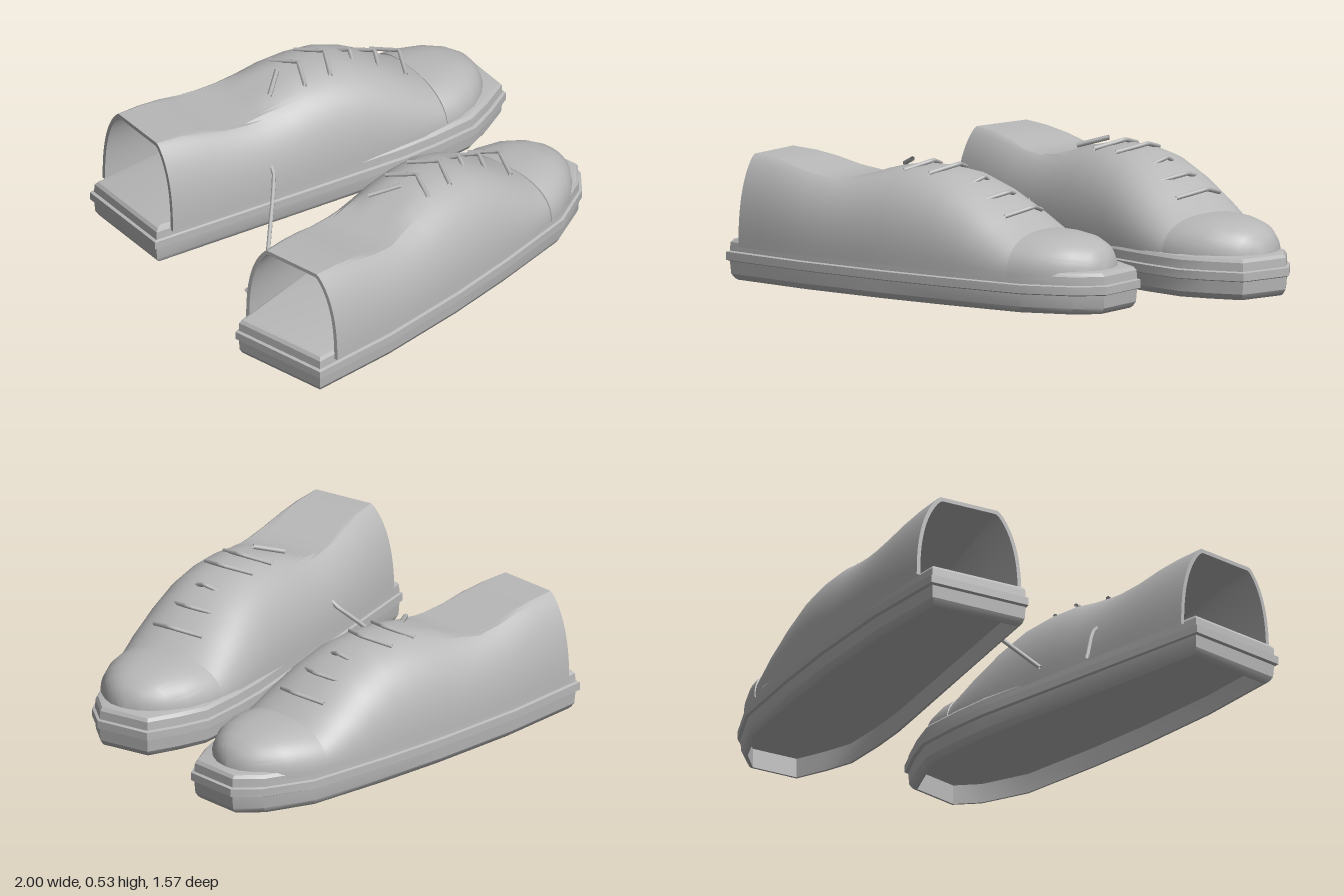
import * as THREE from 'three';
import { toCreasedNormals } from 'three/addons/utils/BufferGeometryUtils.js';

const grey = new THREE.MeshStandardMaterial({ color: 0xb8b8b8, side: THREE.DoubleSide });
grey.name = 'grey';

// Skin a list of rings, each an array of [x, y, z] with equal length
function loft(rings, crease, closed = false) {
  const n = rings[0].length, index = [];
  for (let i = 0; i < rings.length - 1; i++) {
    for (let j = 0; j < (closed ? n : n - 1); j++) {
      const k = (j + 1) % n;
      const a = i * n + j, b = i * n + k, c = a + n, d = b + n;
      index.push(a, b, c, b, d, c);
    }
  }
  const g = new THREE.BufferGeometry();
  g.setAttribute('position', new THREE.Float32BufferAttribute(rings.flat(2), 3));
  g.setIndex(index);
  return toCreasedNormals(g, crease);
}

// Arched cross-section from the inner side over the top to the outer side,
// cut flat at the cap height and slightly skewed along the shoe
function arch([x, zIn, zOut, top, power, cap = top], base, inset = 0, steps = 44) {
  const mid = (zIn + zOut) / 2, half = (zOut - zIn) / 2 - inset, h = top - base - inset;
  const ring = [];
  for (let j = 0; j <= steps; j++) {
    const t = Math.PI * (1 - j / steps);
    const c = Math.cos(t), s = Math.max(0, Math.sin(t));
    const side = half * Math.sign(c) * Math.pow(Math.abs(c), 2 / power);
    const y = Math.min(base + h * Math.pow(s, 2 / power), cap - inset);
    ring.push([x + 0.045 * side, y, mid + side]);
  }
  return ring;
}

// Sole plan: outer side, toe, inner side, heel
const SOLE = [
  [-0.98, 0.748], [-0.6, 0.772], [-0.2, 0.764], [0.1, 0.742], [0.46, 0.7], [0.66, 0.61],
  [0.748, 0.52], [0.735, 0.29], [0.61, 0.22], [0.49, 0.168], [0.3, 0.162], [0.14, 0.168],
  [0, 0.185], [-0.4, 0.235], [-0.8, 0.285], [-1, 0.31],
];
const soleRing = (y, inset) => SOLE.map(([x, z]) => [
  -0.13 + (x + 0.13) * (1 - inset / 0.87), y, 0.47 + (z - 0.47) * (1 - inset / 0.3),
]);
const soleCentre = (y) => SOLE.map(() => [-0.13, y, 0.47]);

// Stations: x, inner z, outer z, top height, roundness power, flat cap height
const UPPER = [
  [-0.912, 0.295, 0.767, 0.542, 2.4, 0.497], [-0.8, 0.28, 0.774, 0.535, 2.4, 0.49],
  [-0.7, 0.268, 0.778, 0.52, 2.4, 0.475], [-0.6, 0.258, 0.78, 0.498, 2.4, 0.448],
  [-0.5, 0.248, 0.778, 0.485, 2.4, 0.436], [-0.42, 0.24, 0.776, 0.482, 2.4, 0.448],
  [-0.32, 0.228, 0.773, 0.49, 2.4, 0.485], [-0.22, 0.218, 0.77, 0.506, 2.4],
  [-0.1, 0.209, 0.763, 0.508, 2.4], [0.02, 0.2, 0.752, 0.492, 2.4],
  [0.14, 0.19, 0.74, 0.445, 2.35], [0.26, 0.185, 0.725, 0.375, 2.3],
  [0.36, 0.19, 0.703, 0.305, 2.3], [0.44, 0.21, 0.68, 0.27, 2.4],
];
const TOE = [
  [0.375, 0.205, 0.69, 0.285, 2.5], [0.38, 0.192, 0.702, 0.298, 2.5], [0.45, 0.198, 0.688, 0.297, 2.5],
  [0.54, 0.228, 0.65, 0.288, 2.5], [0.61, 0.275, 0.6, 0.268, 2.5], [0.655, 0.325, 0.55, 0.243, 2.4],
  [0.682, 0.375, 0.505, 0.21, 2.2], [0.692, 0.43, 0.455, 0.165, 2],
];

// Chevron laces: tip x, tip y, tip z, half width, setback
const LACES = [
  [-0.15, 0.523, 0.483, 0.115, 0.055], [-0.02, 0.522, 0.482, 0.115, 0.06],
  [0.1, 0.482, 0.475, 0.068, 0.03], [0.22, 0.432, 0.468, 0.115, 0.06],
  [0.34, 0.384, 0.465, 0.115, 0.055],
];

// Thin cord following straight segments
function cord(points, radius) {
  const path = new THREE.CurvePath();
  const v = points.map((p) => new THREE.Vector3(...p));
  for (let i = 1; i < v.length; i++) path.add(new THREE.LineCurve3(v[i - 1], v[i]));
  return new THREE.TubeGeometry(path, 12, radius, 6, false);
}

// Mirror a geometry across z and restore its winding
function mirrorZ(geometry) {
  const g = geometry.index ? geometry.toNonIndexed() : geometry.clone();
  for (const name of ['position', 'normal']) {
    const a = g.attributes[name];
    for (let i = 0; i < a.count; i += 3) {
      const p = [0, 2, 1].map((k) => [a.getX(i + k), a.getY(i + k), -a.getZ(i + k)]);
      p.forEach((q, k) => a.setXYZ(i + k, ...q));
    }
  }
  return g;
}

function createShoe(name, mirrored) {
  const shoe = new THREE.Group();
  shoe.name = name;
  const add = (part, geometry) => {
    const mesh = new THREE.Mesh(mirrored ? mirrorZ(geometry) : geometry, grey);
    mesh.name = part;
    shoe.add(mesh);
  };

  // Sole with recessed underside, rounded tread, projecting welt and foxing
  const layers = [
    [0.08, 0.045], [0, 0.045], [0, 0.036], [0.008, 0.026], [0.025, 0.016], [0.075, 0.012], [0.08, 0],
    [0.112, 0], [0.116, 0.012], [0.15, 0.014], [0.163, 0.024], [0.168, 0.04],
  ].map(([y, d]) => soleRing(y, d));
  add('sole', loft([soleCentre(0.08), ...layers, soleCentre(0.168)], 0.4, true));

  // Hollow upper with a flat-topped collar, open at the heel
  const outside = UPPER.map((s) => arch(s, 0.14));
  const inside = UPPER.map((s) => arch(s, 0.14, 0.016));
  add('upper', loft(outside, 0.45));
  add('lining', loft([...inside].reverse(), 0.45));
  add('heelRim', loft([inside[0], outside[0]], 0.45));

  add('toeCap', loft(TOE.map((s) => arch(s, 0.135)), 0.8));

  // Laces across the tongue
  for (const [x, y, z, w, back] of LACES) {
    add('lace', cord([[x - back, y - 0.03, z - w], [x, y, z], [x - back, y - 0.03, z + w]], 0.009));
  }
  add('topLace', cord([[-0.35, 0.485, 0.41], [-0.25, 0.52, 0.49]], 0.01));
  add('looseLace', cord([
    [-0.45, 0.3, 0.29], [-0.465, 0.25, 0.235], [-0.52, 0.185, 0.175], [-0.655, 0.014, 0.04],
  ], 0.009));
  return shoe;
}

export function createModel() {
  const pair = new THREE.Group();
  pair.name = 'pairOfShoes';
  const frontShoe = createShoe('frontShoe', false);
  const backShoe = createShoe('backShoe', true);
  backShoe.rotation.y = -0.145;
  backShoe.position.set(0.186, 0, 0.1);
  pair.add(frontShoe, backShoe);
  return pair;
}
